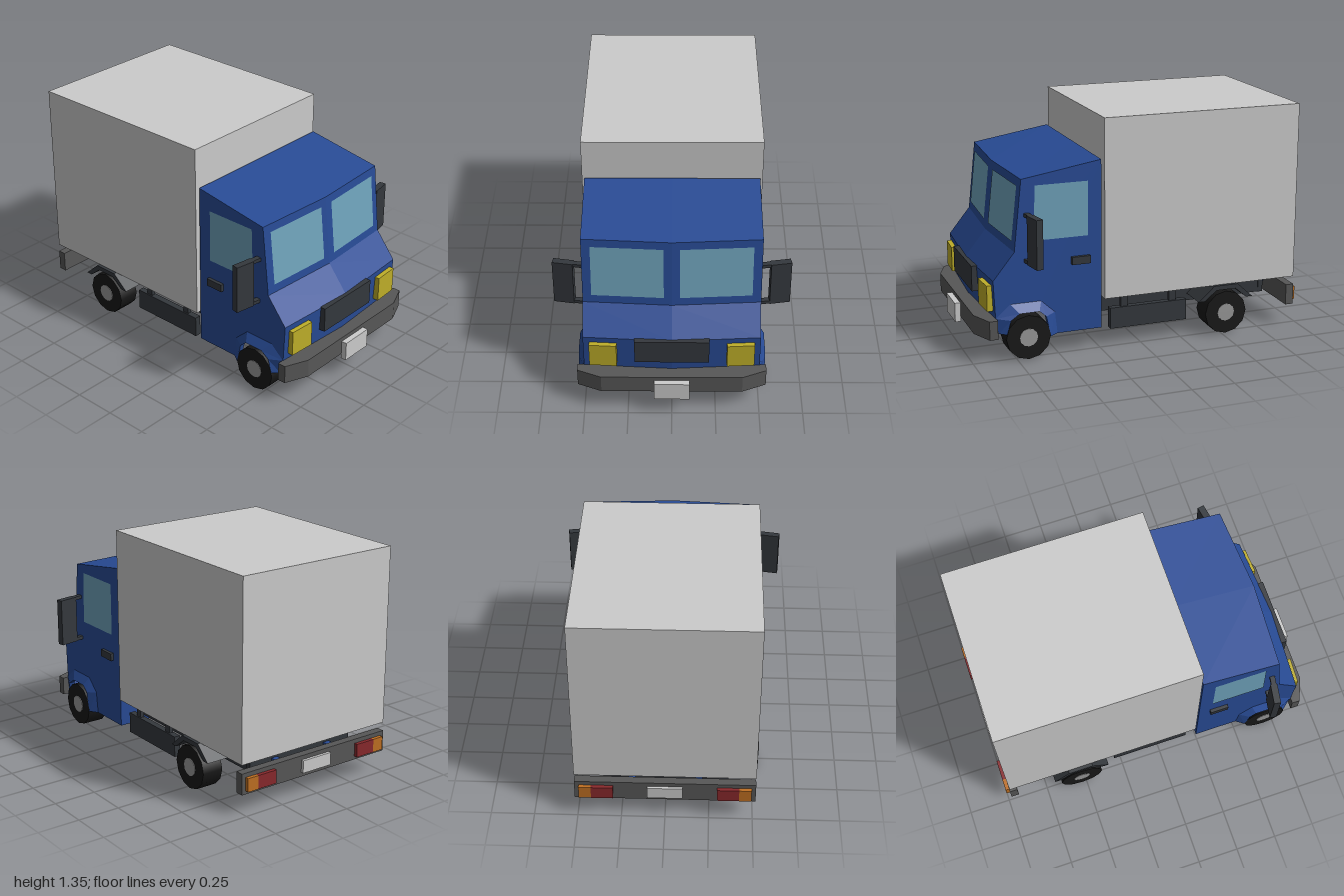
import * as THREE from 'three';

const paint = (color, double = false, flatShading = true) => new THREE.MeshStandardMaterial({
  color, flatShading, side: double ? THREE.DoubleSide : THREE.FrontSide });
const BLUE = paint(0x284b95, true), GREY = paint(0xcccccc), GREY_THIN = paint(0xcccccc, true);
const GLASS = paint(0x6fa3bb, true), DARK = paint(0x34383d), TRIM = paint(0x575757);
const TYRE = paint(0x181818, false, false), HUB = paint(0x999999), YELLOW = paint(0xbeae29);
const RED = paint(0x88292c), ORANGE = paint(0xbe6f22);

const outline = points => new THREE.Shape(points.map(p => new THREE.Vector2(...p)));

export function createModel() {
  const model = new THREE.Group();

  const add = (name, geometry, material, parent = model) => {
    const mesh = new THREE.Mesh(geometry, material);
    mesh.name = name;
    parent.add(mesh);
    return mesh;
  };
  // Box given by its limits on each axis
  const block = (name, material, [x0, x1], [y0, y1], [z0, z1], parent) => {
    const mesh = add(name, new THREE.BoxGeometry(Math.abs(x1 - x0), y1 - y0, Math.abs(z1 - z0)), material, parent);
    mesh.position.set((x0 + x1) / 2, (y0 + y1) / 2, (z0 + z1) / 2);
    return mesh;
  };
  // Strip of quads through rows of equally many [x, y, z] points
  const loft = rows => {
    const n = rows[0].length, index = [];
    for (let r = 0; r < rows.length - 1; r++) for (let i = 0; i < n - 1; i++) {
      const a = r * n + i, b = a + n;
      index.push(a, b, a + 1, a + 1, b, b + 1);
    }
    const g = new THREE.BufferGeometry();
    g.setAttribute('position', new THREE.Float32BufferAttribute(rows.flat(2), 3));
    g.setIndex(index);
    const flat = g.toNonIndexed();
    flat.computeVertexNormals();
    return flat;
  };

  // Cab: hollow shell open underneath, its front bent back towards the corners
  const skin = [[0.24, 0.12], [0.24, 1.11], [0.735, 1.035], [0.78, 0.625],
    [0.905, 0.47], [0.895, 0.25], [0.87, 0.16]];
  const arch = [[0.81, 0.16], [0.785, 0.24], [0.735, 0.275], [0.62, 0.275], [0.58, 0.24], [0.555, 0.12]];
  const bend = ([z, y], x) => [z > 0.7 ? z - 0.06 * Math.abs(x) : z, y];
  add('cabShell', loft([0.5, 0, -0.5].map(x => skin.map(p => {
    const [z, y] = bend(p, x);
    return [x, y, z];
  }))), BLUE);

  // Cargo box, open underneath
  const cargo = block('cargoBox', GREY_THIN, [-0.515, 0.515], [0.295, 1.345], [-0.975, 0.225]);
  const faces = Array.from(cargo.geometry.index.array);
  faces.splice(18, 6);
  cargo.geometry.setIndex(faces);
  cargo.geometry.clearGroups();

  // Front trim
  block('grille', DARK, [-0.21, 0.21], [0.325, 0.475], [0.87, 0.923]);
  const bumperShape = outline([[-0.537, 0.862], [0.537, 0.862], [0.537, 0.91],
    [0.4, 0.967], [-0.4, 0.967], [-0.537, 0.91]]);
  add('frontBumper', new THREE.ExtrudeGeometry(bumperShape, { depth: 0.11, bevelEnabled: false })
    .rotateX(Math.PI / 2).translate(0, 0.25, 0), TRIM);
  block('frontPlate', GREY, [-0.1, 0.1], [0.11, 0.225], [0.965, 1]);

  // Rear crossmember and bumper
  block('crossmember', DARK, [-0.36, 0.36], [0.165, 0.275], [-0.85, -0.82]);
  block('rearBumper', TRIM, [-0.515, 0.515], [0.12, 0.245], [-0.978, -0.93]);
  block('rearPlate', GREY, [-0.1, 0.1], [0.145, 0.22], [-0.995, -0.975]);

  // Windscreen surface
  const screen = (x, y) => [x, y, 0.739 + (1.035 - y) * 0.11 - 0.06 * Math.abs(x)];

  for (const s of [-1, 1]) {
    const side = new THREE.Group();
    side.name = s > 0 ? 'leftSide' : 'rightSide';
    model.add(side);
    const span = (a, b) => [s * a, s * b];
    const part = (name, material, x, y, z) => block(name, material, span(...x), y, z, side);

    // Cab side with the wheel arch cut out
    add('cabSide', new THREE.ShapeGeometry(outline([...skin.map(p => bend(p, 0.5)), ...arch]))
      .rotateY(-Math.PI / 2).translate(s * 0.5, 0, 0), BLUE, side);

    // Glass
    add('windscreen', loft([[screen(s * 0.045, 0.675), screen(s * 0.45, 0.675)],
      [screen(s * 0.045, 0.99), screen(s * 0.45, 0.99)]]), GLASS, side);
    const gx = s * 0.503;
    add('doorWindow', loft([[[gx, 0.68, 0.64], [gx, 0.68, 0.32]],
      [[gx, 0.995, 0.628], [gx, 0.995, 0.32]]]), GLASS, side);

    // Flared lip around the front wheel arch
    const rim = [[0.85, 0.16], [0.865, 0.25], [0.78, 0.325], [0.6, 0.325], [0.52, 0.25], [0.505, 0.12]];
    const row = (points, x) => points.map(([z, y]) => [s * x, y, z]);
    add('wheelArch', loft([row(arch, 0.5), row(arch, 0.535), row(rim, 0.501)]), BLUE, side);

    // Headlight, handle and mirror
    part('headlight', YELLOW, [0.31, 0.465], [0.285, 0.435], [0.86, 0.908]).rotation.y = s * 0.06;
    part('doorHandle', DARK, [0.495, 0.52], [0.52, 0.565], [0.31, 0.42]);
    const mirror = new THREE.Group();
    mirror.name = 'mirror';
    mirror.position.set(s * 0.5, 0, 0.68);
    mirror.rotation.y = s * 0.17;
    side.add(mirror);
    block('mirrorPanel', DARK, span(0.05, 0.167), [0.56, 0.843], [-0.02, 0.02], mirror);
    for (const y of [0.56, 0.823])
      block('mirrorArm', DARK, span(0, 0.06), [y, y + 0.02], [-0.015, 0.015], mirror);

    // Chassis rail, rear bumper bracket and side guard with its posts
    part('chassisRail', DARK, [0.31, 0.355], [0.165, 0.275], [-0.85, 0.23]);
    part('bumperBracket', BLUE, [0.17, 0.21], [0.175, 0.215], [-0.935, -0.845]);
    part('sideGuard', DARK, [0.44, 0.478], [0.095, 0.22], [-0.295, 0.178]);
    for (const z of [0.09, -0.21])
      part('guardPost', DARK, [0.445, 0.47], [0.21, 0.3], [z - 0.02, z + 0.02]);

    // Rear mudguard
    const guard = outline([[-0.35, 0.21], [-0.45, 0.297], [-0.6, 0.297], [-0.695, 0.21],
      [-0.655, 0.21], [-0.585, 0.27], [-0.465, 0.27], [-0.39, 0.21]]);
    add('mudguard', new THREE.ExtrudeGeometry(guard, { depth: 0.175, bevelEnabled: false })
      .rotateY(-Math.PI / 2).translate(s * 0.4475 + 0.0875, 0, 0), DARK, side);

    // Tail lights
    part('brakeLight', RED, [0.295, 0.42], [0.14, 0.22], [-1, -0.975]);
    part('rearIndicator', ORANGE, [0.42, 0.49], [0.14, 0.22], [-1, -0.975]);

    // Wheels, with the hub on the outer face only
    for (const z of [0.685, -0.525]) {
      const wheel = new THREE.Group();
      wheel.name = z > 0 ? 'frontWheel' : 'rearWheel';
      wheel.position.set(s * 0.47, 0.13, z);
      side.add(wheel);
      add('tyre', new THREE.CylinderGeometry(0.13, 0.13, 0.13, 12).rotateZ(Math.PI / 2), TYRE, wheel);
      add('hub', new THREE.CylinderGeometry(0.053, 0.053, 0.03, 12).rotateZ(Math.PI / 2), HUB, wheel)
        .position.x = s * 0.053;
    }
  }
  return model;
}
